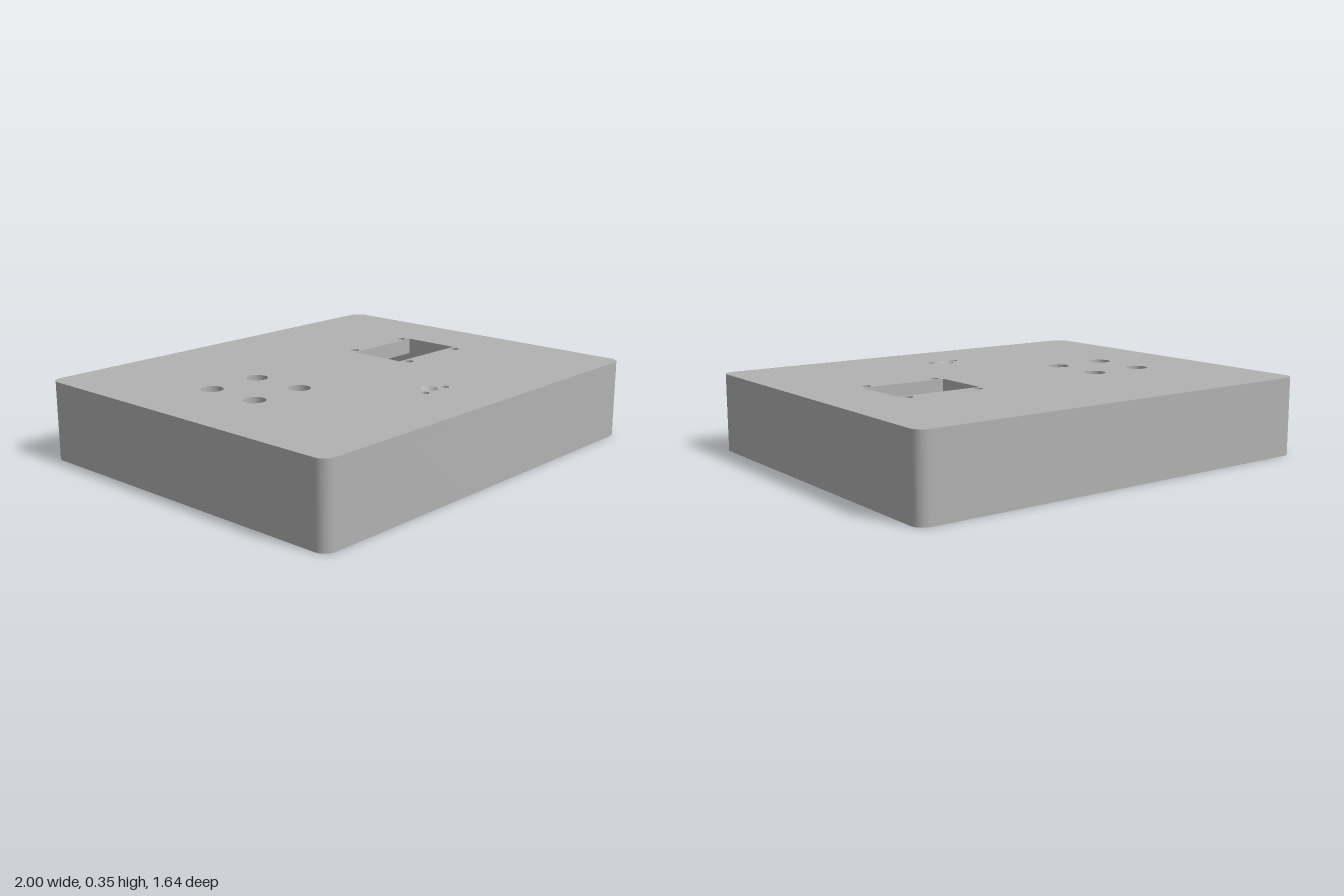
import * as THREE from 'three';
import { toCreasedNormals } from 'three/addons/utils/BufferGeometryUtils.js';

const TOP = 0.355, CEILING = 0.322;
const grey = new THREE.MeshStandardMaterial({ color: 0xb2b2b2 });
grey.name = 'grey plastic';

// Outlines are drawn in plan: x across, z down
function roundedRect(Type, x, z, hx, hz, r) {
  const s = new Type();
  s.moveTo(x - hx + r, z - hz);
  s.lineTo(x + hx - r, z - hz);
  if (r) s.absarc(x + hx - r, z - hz + r, r, -Math.PI / 2, 0);
  s.lineTo(x + hx, z + hz - r);
  if (r) s.absarc(x + hx - r, z + hz - r, r, 0, Math.PI / 2);
  s.lineTo(x - hx + r, z + hz);
  if (r) s.absarc(x - hx + r, z + hz - r, r, Math.PI / 2, Math.PI);
  s.lineTo(x - hx, z - hz + r);
  if (r) s.absarc(x - hx + r, z - hz + r, r, Math.PI, Math.PI * 1.5);
  return s;
}

function circle(Type, x, z, r) {
  const s = new Type();
  s.absarc(x, z, r, 0, Math.PI * 2);
  return s;
}

function hexagon(x, z, r) {
  const p = new THREE.Path();
  for (let i = 0; i < 6; i++) {
    const a = i * Math.PI / 3;
    if (i) p.lineTo(x + r * Math.cos(a), z + r * Math.sin(a));
    else p.moveTo(x + r, z);
  }
  p.closePath();
  return p;
}

export function createModel() {
  const model = new THREE.Group();
  model.name = 'enclosure';

  const add = (name, geometry) => {
    const mesh = new THREE.Mesh(toCreasedNormals(geometry, 0.6), grey);
    mesh.name = name;
    model.add(mesh);
  };
  // Extrude a plan outline between two heights
  const slab = (name, shape, holes, bottom, top) => {
    shape.holes.push(...holes);
    const g = new THREE.ExtrudeGeometry(shape, { depth: top - bottom, bevelEnabled: false, curveSegments: 16 });
    g.rotateX(Math.PI / 2);
    g.translate(0, top, 0);
    add(name, g);
  };

  const { Shape, Path } = THREE;
  const buttons = [[-0.625, -0.19], [-0.365, -0.19], [-0.625, 0.07], [-0.365, 0.07]];
  const screws = [[0.32, -0.23], [0.665, -0.23], [0.32, 0.105], [0.665, 0.105]];
  const sidePins = [[-0.067, 0.513], [0.067, 0.513]];
  const windowHole = () => roundedRect(Path, 0.493, -0.062, 0.203, 0.137, 0);
  const screwHoles = () => screws.map(([x, z]) => circle(Path, x, z, 0.022));

  // Top plate with all openings
  slab('topPlate', roundedRect(Shape, 0, 0, 1, 0.82, 0.055), [
    windowHole(), ...screwHoles(),
    ...buttons.map(([x, z]) => circle(Path, x, z, 0.049)),
    ...sidePins.map(([x, z]) => circle(Path, x, z, 0.018)),
    circle(Path, 0, 0.48, 0.039),
  ], CEILING, TOP);

  // Side walls, open below
  slab('walls', roundedRect(Shape, 0, 0, 1, 0.82, 0.055),
    [roundedRect(Path, 0, 0, 0.973, 0.793, 0.03)], 0, CEILING);

  // Corner screw posts with hexagonal sockets
  for (const sx of [-1, 1]) for (const sz of [-1, 1]) {
    const x = sx * 0.932, z = sz * 0.752;
    slab('cornerPost', circle(Shape, x, z, 0.062), [hexagon(x, z, 0.036)], 0.004, CEILING);
  }

  // Display frame under the window
  slab('displayFrame', roundedRect(Shape, 0.493, -0.062, 0.23, 0.195, 0),
    [windowHole(), ...screwHoles()], 0.28, CEILING);

  // Square collars under the button holes
  for (const [x, z] of buttons)
    slab('buttonCollar', roundedRect(Shape, x, z, 0.09, 0.09, 0),
      [roundedRect(Path, x, z, 0.066, 0.066, 0)], 0.29, CEILING);

  // Small bosses beside the conical cup
  for (const [x, z] of sidePins)
    slab('pinBoss', circle(Shape, x, z, 0.034), [circle(Path, x, z, 0.018)], 0.275, CEILING);

  // Conical cup with a through hole
  const profile = [[0.014, 0.3], [0.039, 0.3], [0.039, TOP], [0.014, 0.328], [0.014, 0.3]]
    .map(([r, y]) => new THREE.Vector2(r, y));
  const cup = new THREE.LatheGeometry(profile, 32);
  cup.translate(0, 0, 0.48);
  add('conicalCup', cup);

  // Stiffening rib across the ceiling
  const rib = new THREE.BoxGeometry(0.035, 0.045, 1.59);
  rib.translate(-0.165, CEILING - 0.0225, 0);
  add('rib', rib);

  return model;
}
